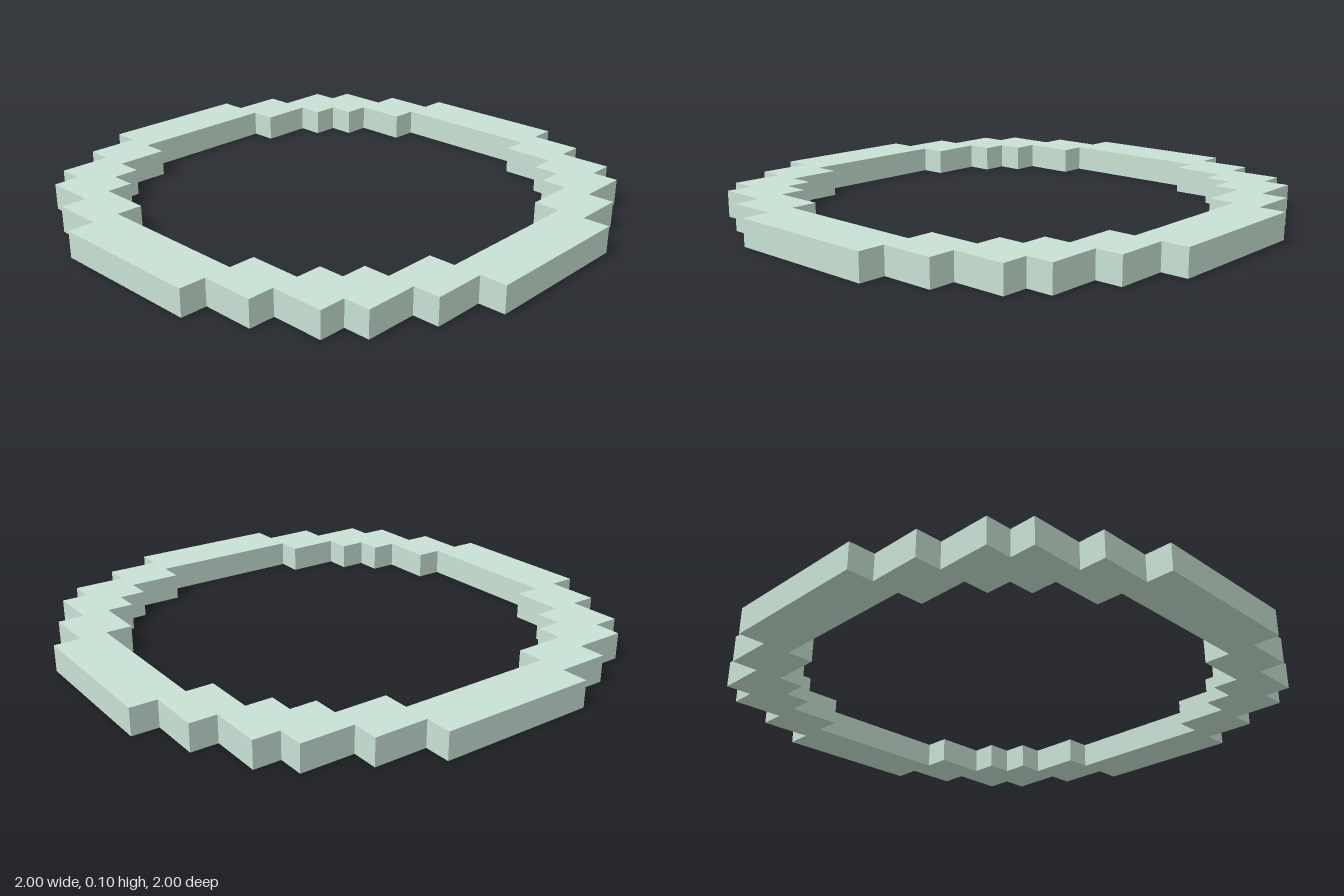
import * as THREE from 'three';

// Stepped outlines of one quadrant, repeated by quarter turns
const OUTER = [[0.3, 1], [0.3, 0.9], [0.5, 0.9], [0.5, 0.8], [0.7, 0.8], [0.7, 0.7],
  [0.8, 0.7], [0.8, 0.5], [0.9, 0.5], [0.9, 0.3], [1, 0.3]];
const INNER = [[0.3, 0.8], [0.3, 0.7], [0.5, 0.7], [0.5, 0.6], [0.6, 0.6],
  [0.6, 0.5], [0.7, 0.5], [0.7, 0.3], [0.8, 0.3]];
const HEIGHT = 0.1;

function fullOutline(quadrant) {
  const points = [];
  for (let turn = 0; turn < 4; turn++) {
    for (const [x, y] of quadrant) {
      let p = [x, y];
      for (let i = 0; i < turn; i++) p = [p[1], -p[0]];
      points.push(new THREE.Vector2(p[0], p[1]));
    }
  }
  return points;
}

export function createModel() {
  const model = new THREE.Group();
  model.name = 'steppedRing';

  const paleGreen = new THREE.MeshStandardMaterial({ color: 0xc8e2d4 });
  paleGreen.name = 'paleGreen';

  // Flat ring of square steps; the hole runs opposite to the outline so its walls face inward
  const shape = new THREE.Shape(fullOutline(OUTER));
  shape.holes.push(new THREE.Path(fullOutline(INNER).reverse()));
  const geometry = new THREE.ExtrudeGeometry(shape, { depth: HEIGHT, bevelEnabled: false });
  geometry.rotateX(-Math.PI / 2);

  const ring = new THREE.Mesh(geometry, paleGreen);
  ring.name = 'ring';
  model.add(ring);
  return model;
}
